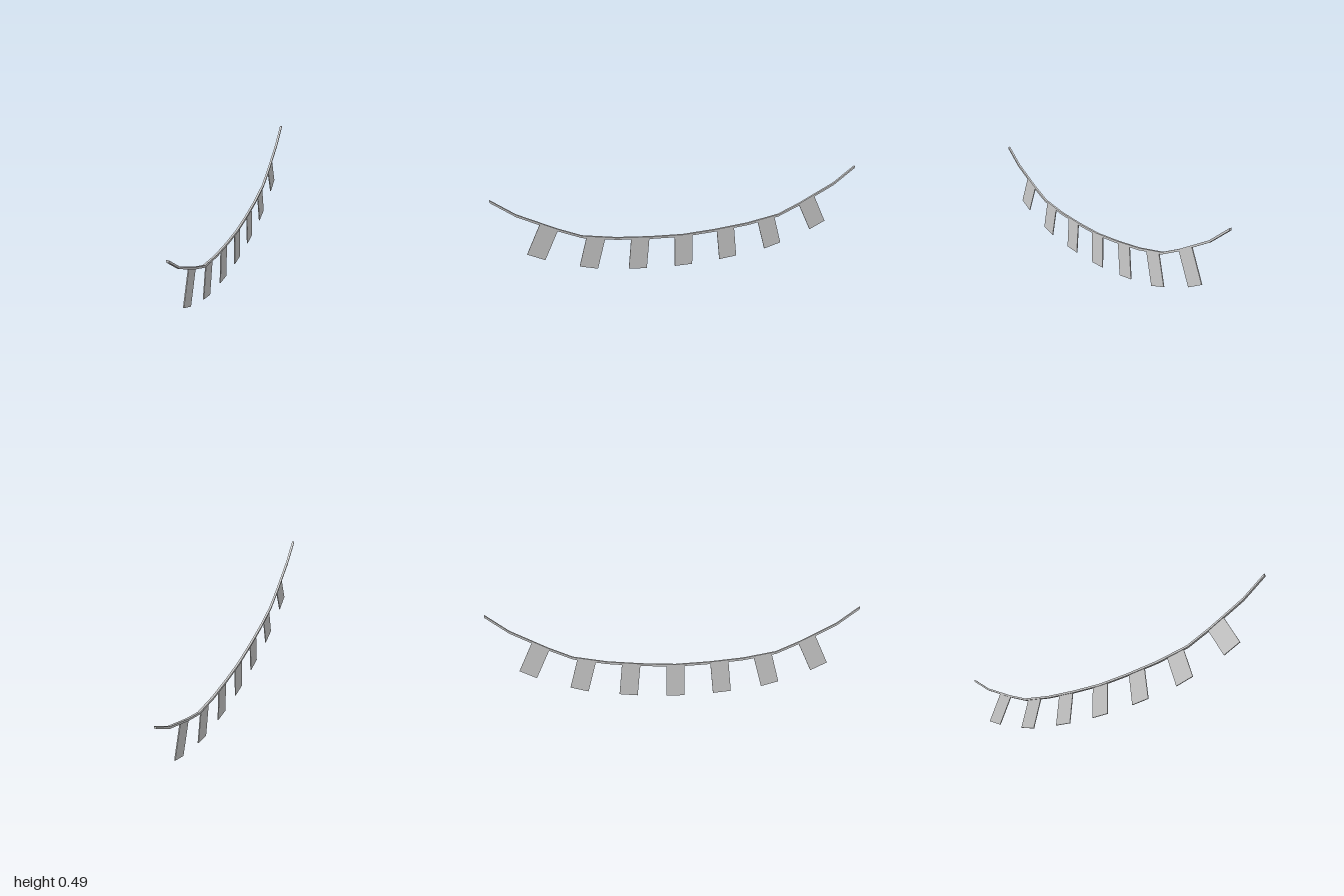
import * as THREE from 'three';

const material = new THREE.MeshStandardMaterial({ color: 0xcccccc, flatShading: true });

// Half of the sagging cord: [z, y] from the middle to the end
const SAG = [[0, 0.178], [0.185, 0.187], [0.37, 0.204], [0.552, 0.236], [0.68, 0.291], [0.878, 0.391], [1, 0.481]];
const CORD = 0.012;

// Flags: z and y of the top edge's middle, and outward tilt in degrees
const FLAGS = [[0, 0.175, 0], [0.241, 0.187, 5.7], [0.479, 0.222, 15.2], [0.72, 0.3065, 25.5]];
const FLAG_WIDTH = 0.1, FLAG_LENGTH = 0.175, FLAG_THICKNESS = 0.005;

function createCord() {
  const mirrored = SAG.slice(1).reverse().map(([z, y]) => [-z, y]);
  const line = [...mirrored, ...SAG];
  const offset = (d) => line.map(([z, y]) => new THREE.Vector2(z, y + d));
  const shape = new THREE.Shape([...offset(-CORD / 2), ...offset(CORD / 2).reverse()]);
  const geometry = new THREE.ExtrudeGeometry(shape, { depth: CORD, bevelEnabled: false });
  geometry.translate(0, 0, -CORD / 2).rotateY(Math.PI / 2);
  const cord = new THREE.Mesh(geometry, material);
  cord.name = 'cord';
  return cord;
}

export function createModel() {
  const group = new THREE.Group();
  group.name = 'bunting';
  group.add(createCord());

  // Rectangular flags hanging square to the cord, mirrored about the middle
  const flagGeometry = new THREE.BoxGeometry(FLAG_THICKNESS, FLAG_LENGTH, FLAG_WIDTH);
  flagGeometry.translate(0, -FLAG_LENGTH / 2, 0);
  FLAGS.forEach(([z, y, tilt], i) => {
    for (const side of i === 0 ? [1] : [1, -1]) {
      const flag = new THREE.Mesh(flagGeometry, material);
      flag.name = i === 0 ? 'middleFlag' : `${side > 0 ? 'front' : 'back'}Flag${i}`;
      flag.position.set(0, y, side * z);
      flag.rotation.x = -side * THREE.MathUtils.degToRad(tilt);
      group.add(flag);
    }
  });
  return group;
}
